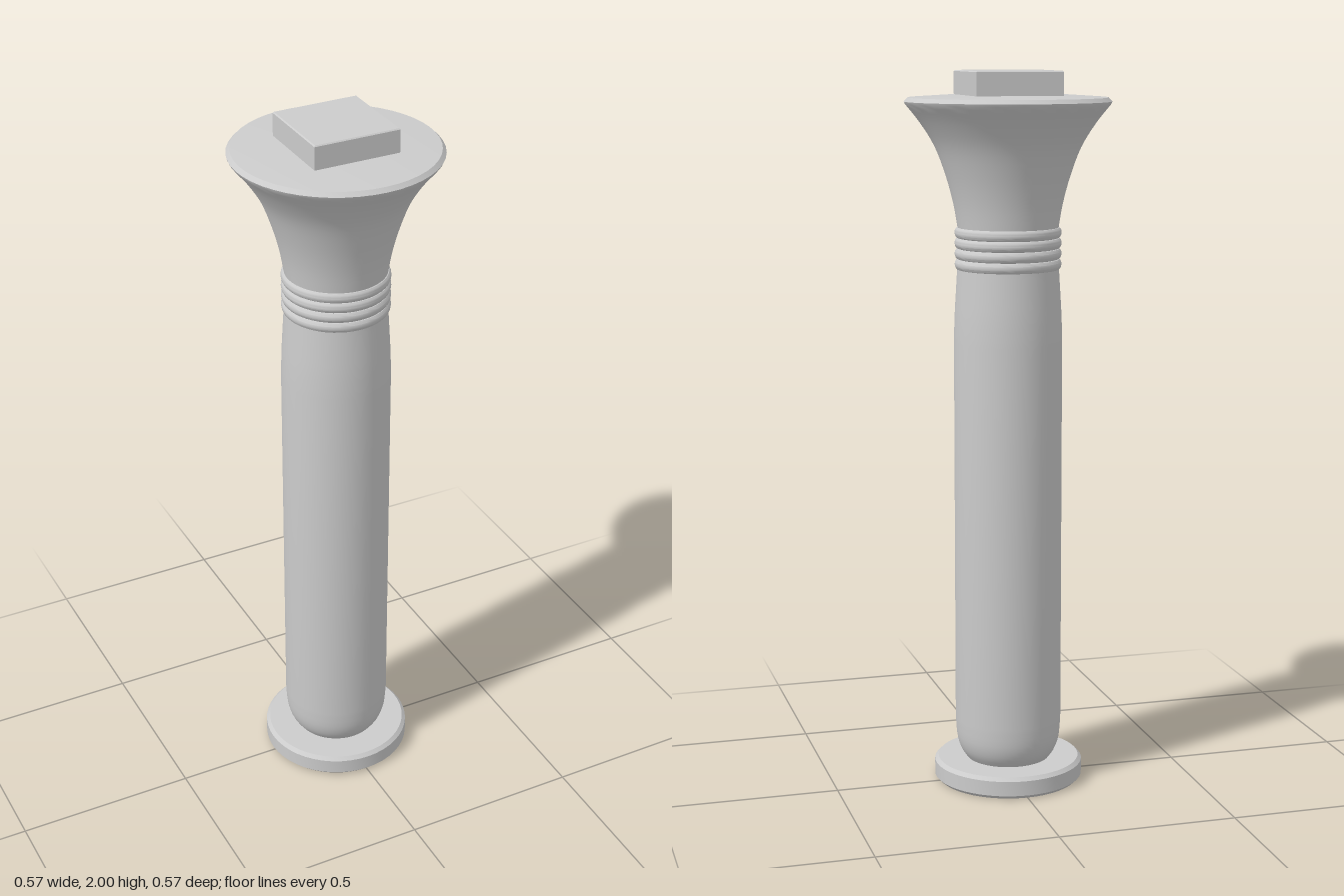
import * as THREE from 'three';
import { toCreasedNormals } from 'three/addons/utils/BufferGeometryUtils.js';

const SEGMENTS = 48;

export function createModel() {
  const column = new THREE.Group();
  column.name = 'column';
  const material = new THREE.MeshStandardMaterial({ color: 0xcccccc, side: THREE.DoubleSide });

  const add = (name, geometry) => {
    const mesh = new THREE.Mesh(toCreasedNormals(geometry, 0.5), material);
    mesh.name = name;
    column.add(mesh);
    return mesh;
  };
  // Profiles run from bottom to top as [radius, height]
  const turn = (name, profile) =>
    add(name, new THREE.LatheGeometry(profile.map(([r, y]) => new THREE.Vector2(r, y)), SEGMENTS));
  const smooth = (points, steps) =>
    new THREE.SplineCurve(points.map(([r, y]) => new THREE.Vector2(r, y)))
      .getPoints(steps).map((p) => [p.x, p.y]);

  // Hollow base disc, open underneath
  turn('base', [[0.2, 0], [0.21, 0.01], [0.21, 0.052], [0.2, 0.062], [0, 0.062]]);

  // Shaft with a rounded foot and a slight taper to the neck
  turn('shaft', [
    ...smooth([[0.118, 0.062], [0.135, 0.088], [0.146, 0.125], [0.15, 0.18]], 10),
    ...smooth([[0.15, 1.26], [0.148, 1.33], [0.144, 1.4], [0.14, 1.465]], 8),
  ]);

  // Stacked neck bands
  const bands = 4, bottom = 1.461, pitch = 0.029;
  for (let i = 0; i < bands; i++) {
    const profile = [];
    for (let k = 0; k <= 8; k++) {
      const a = (k / 8) * Math.PI;
      profile.push([0.138 + 0.009 * Math.sin(a), bottom + pitch * (i + 0.5 - 0.5 * Math.cos(a))]);
    }
    turn('neckBand' + (i + 1), profile);
  }

  // Flared bell capital with a bevelled rim and gently raised top
  turn('capital', [
    ...smooth([[0.138, 1.57], [0.15, 1.64], [0.17, 1.715], [0.2, 1.795], [0.24, 1.86], [0.28, 1.91]], 20),
    [0.283, 1.917], [0.273, 1.928], [0.18, 1.934], [0, 1.934],
  ]);

  // Square abacus block with a fine bevel
  const half = 0.118;
  const square = new THREE.Shape([[-1, -1], [1, -1], [1, 1], [-1, 1]]
    .map(([x, y]) => new THREE.Vector2(x * half, y * half)));
  const block = new THREE.ExtrudeGeometry(square, {
    depth: 0.07, bevelEnabled: true, bevelSize: 0.003, bevelThickness: 0.003, bevelSegments: 1,
  });
  block.rotateX(-Math.PI / 2);
  add('abacus', block).position.y = 1.927;

  return column;
}
